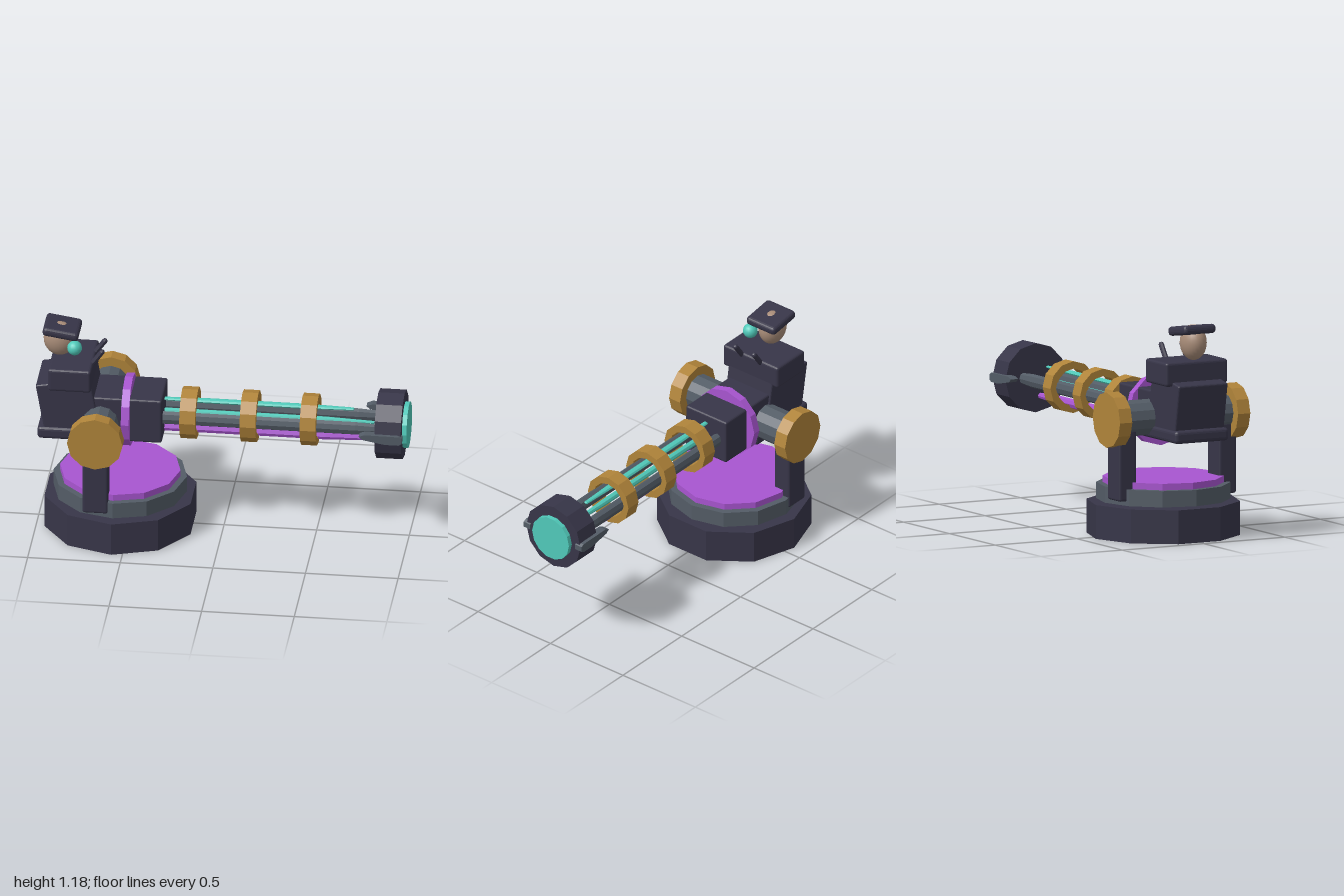
import * as THREE from 'three';
import { RoundedBoxGeometry } from 'three/addons/geometries/RoundedBoxGeometry.js';

const flat = (name, color) => {
  const m = new THREE.MeshStandardMaterial({ color, flatShading: true });
  m.name = name;
  return m;
};

export function createModel() {
  const model = new THREE.Group();
  model.name = 'mountedCannon';
  const dark = flat('dark armour', 0x373548);
  const steel = flat('steel grey', 0x535c66);
  const purple = flat('purple', 0xa855d0);
  const gold = flat('gold', 0xb0843a);
  const teal = flat('teal', 0x50c9b9);
  const skin = flat('skin', 0xa88c78);
  skin.flatShading = false;

  const add = (name, geo, mat, x, y, z) => {
    const mesh = new THREE.Mesh(geo, mat);
    mesh.name = name;
    mesh.position.set(x, y, z);
    model.add(mesh);
    return mesh;
  };
  // Box given by its extents, with softened edges
  const box = (name, mat, [x0, x1], [y0, y1], [z0, z1], r = 0.012) =>
    add(name, new RoundedBoxGeometry(x1 - x0, y1 - y0, z1 - z0, 2, r), mat,
      (x0 + x1) / 2, (y0 + y1) / 2, (z0 + z1) / 2);
  // Upright faceted drum
  const drum = (name, mat, r, y0, y1, sides) =>
    add(name, new THREE.CylinderGeometry(r, r, y1 - y0, sides), mat, -0.56, (y0 + y1) / 2, 0);
  // Faceted disc facing along x
  const discX = (name, mat, r, x0, x1, sides = 12) =>
    add(name, new THREE.CylinderGeometry(r, r, x1 - x0, sides).rotateZ(-Math.PI / 2), mat,
      (x0 + x1) / 2, 0.67, 0);
  // Turned solid along x from [radius, x] pairs
  const turned = (name, mat, pts, sides, y, z, depth = 1) =>
    add(name, new THREE.LatheGeometry(pts.map(p => new THREE.Vector2(...p)), sides)
      .rotateZ(-Math.PI / 2).scale(1, 1, depth), mat, 0, y, z);

  // Turntable
  drum('base', dark, 0.415, 0, 0.183, 10);
  drum('turntable', steel, 0.36, 0.192, 0.28, 12);
  drum('turntablePlate', purple, 0.325, 0.28, 0.315, 12);

  // Yoke arms and trunnion
  for (const s of [-1, 1]) {
    const side = s > 0 ? 'left' : 'right';
    const arm = box(side + 'YokeArm', dark, [-0.722, -0.585], [0.215, 0.6], [0.255, 0.36]);
    arm.position.z *= s;
    add(side + 'TrunnionCap',
      new THREE.CylinderGeometry(0.15, 0.15, 0.075, 12).rotateX(Math.PI / 2), gold,
      -0.65, 0.653, s * 0.363);
  }
  add('trunnion', new THREE.CylinderGeometry(0.098, 0.098, 0.68, 12).rotateX(Math.PI / 2),
    steel, -0.65, 0.653, 0);

  // Receiver and collar
  box('receiver', dark, [-0.72, -0.32], [0.545, 0.8], [-0.14, 0.14]);
  discX('collar', purple, 0.195, -0.535, -0.492);
  box('rearSlab', dark, [-0.99, -0.55], [0.545, 0.615], [-0.165, 0.165], 0.02);

  // Barrel rails and rods
  for (const z of [-0.079, 0.079])
    turned('barrelRail', steel,
      [[0, -0.34], [0.038, -0.34], [0.038, 0.72], [0.028, 0.86], [0, 0.87]], 8, 0.672, z, 0.72);
  turned('upperRod', teal,
    [[0, -0.34], [0.008, -0.32], [0.012, -0.1], [0.012, 0.45], [0.007, 0.7], [0, 0.705]], 8, 0.746, 0, 1.7);
  turned('coreRod', teal,
    [[0, -0.34], [0.018, -0.32], [0.018, 0.55], [0.008, 0.81], [0, 0.82]], 8, 0.672, 0);
  turned('lowerRod', purple,
    [[0, -0.34], [0.026, -0.33], [0.026, 0.55], [0.016, 0.78], [0, 0.787]], 8, 0.58, 0);

  // Hollow barrel bands
  for (const x of [-0.183, 0.143, 0.467])
    turned('barrelBand', gold,
      [[0.14, x - 0.043], [0.14, x + 0.043], [0.1, x + 0.043], [0.1, x - 0.043], [0.14, x - 0.043]],
      12, 0.67, 0);

  // Muzzle with lens and side clamps
  discX('muzzle', dark, 0.187, 0.833, 0.975);
  discX('muzzleLens', teal, 0.127, 0.97, 1, 14);
  const clamp = new THREE.Shape([[0.75, 0.685], [0.78, 0.697], [0.965, 0.695], [0.982, 0.685],
    [0.982, 0.655], [0.965, 0.645], [0.89, 0.645], [0.77, 0.667]].map(p => new THREE.Vector2(...p)));
  for (const z of [-0.2, 0.155])
    add('muzzleClamp', new THREE.ExtrudeGeometry(clamp, { depth: 0.045, bevelEnabled: false }),
      steel, 0, 0, z);

  // Gunner torso, shoulders and handles
  const torso = add('torso', new RoundedBoxGeometry(0.3, 0.31, 0.304, 2, 0.01), dark, -0.826, 0.733, 0);
  torso.rotation.z = 0.175;
  box('shoulders', dark, [-0.93, -0.697], [0.85, 0.98], [-0.19, 0.19], 0.015);
  for (const z of [-0.064, 0.064]) {
    const handle = add('handle', new THREE.CapsuleGeometry(0.015, 0.09, 3, 8), dark, -0.678, 1.003, z);
    handle.rotation.z = -0.62;
  }

  // Head, eye and cap
  add('head', new THREE.SphereGeometry(1, 24, 16).scale(0.087, 0.096, 0.068), skin, -0.887, 1.077, 0);
  const eyeMat = teal.clone();
  eyeMat.flatShading = false;
  eyeMat.name = 'smooth teal';
  add('eye', new THREE.SphereGeometry(0.04, 16, 12), eyeMat, -0.797, 1.064, 0.081);
  const cap = add('cap', new RoundedBoxGeometry(0.195, 0.05, 0.197, 2, 0.02), dark, -0.873, 1.142, 0);
  cap.rotation.z = -0.15;

  return model;
}
